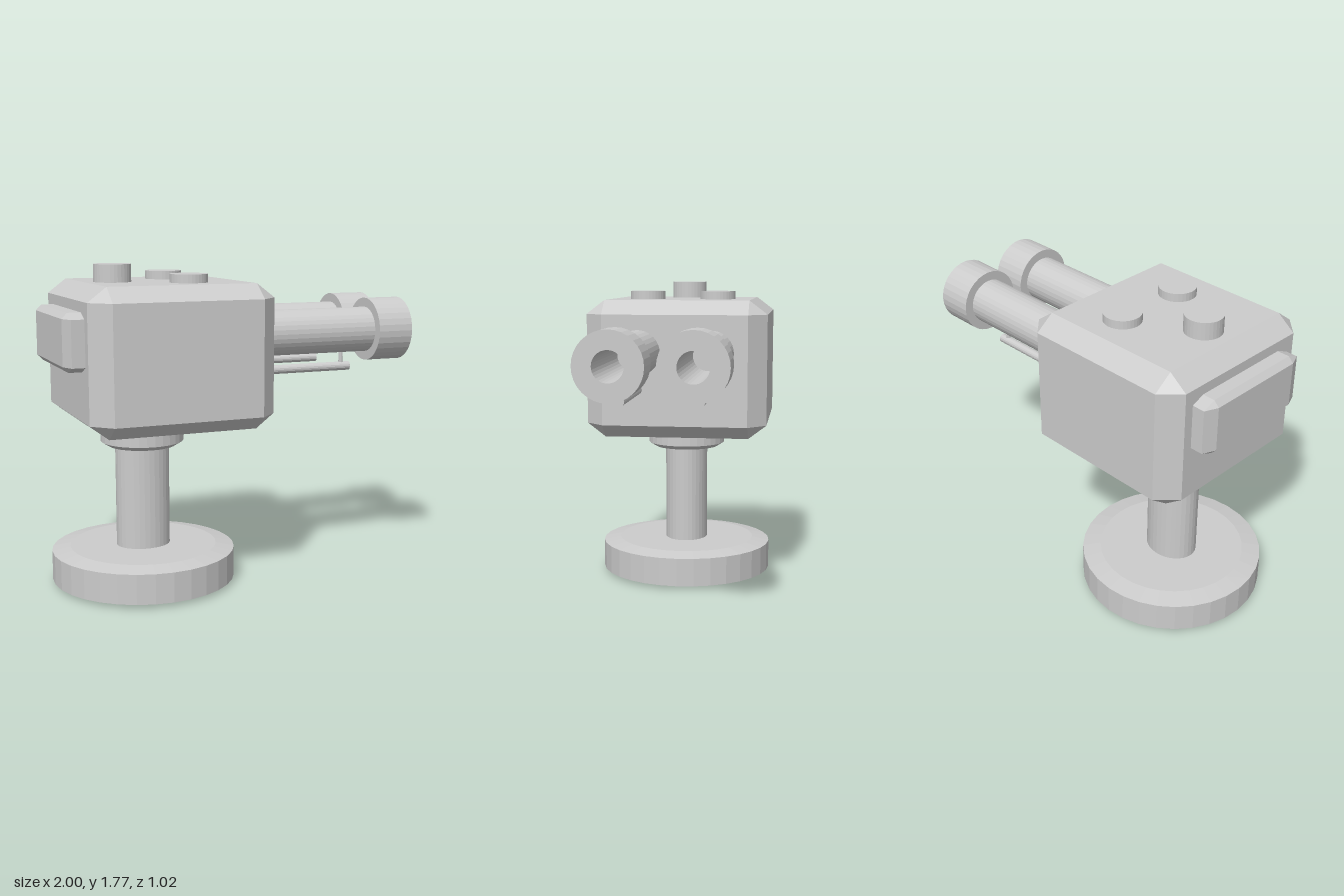
import * as THREE from 'three';
import { ConvexGeometry } from 'three/addons/geometries/ConvexGeometry.js';

const SIDES = 32;
const material = new THREE.MeshStandardMaterial({ color: 0xcccccc, flatShading: true });

function add(parent, name, geometry, x = 0, y = 0, z = 0) {
  const mesh = new THREE.Mesh(geometry, material);
  mesh.name = name;
  mesh.position.set(x, y, z);
  parent.add(mesh);
  return mesh;
}

// Box with every edge cut back by a tenth of its size, corners ending in triangles
function chamferedBox(w, h, d) {
  const half = [w / 2, h / 2, d / 2];
  const points = [];
  for (const sx of [-1, 1]) for (const sy of [-1, 1]) for (const sz of [-1, 1]) {
    for (let full = 0; full < 3; full++) {
      const p = [sx, sy, sz].map((s, i) => s * half[i] * (i === full ? 1 : 0.8));
      points.push(new THREE.Vector3(...p));
    }
  }
  return new ConvexGeometry(points);
}

// Turned part from [radius, height] pairs, listed upwards on the outside
const turned = (profile) =>
  new THREE.LatheGeometry(profile.map(([r, y]) => new THREE.Vector2(r, y)), SIDES);

const cylinder = (r, h, sides = SIDES) => new THREE.CylinderGeometry(r, r, h, sides);

export function createModel() {
  const model = new THREE.Group();
  model.name = 'twinBarrelTurret';
  const axisX = -0.49;

  // Stand: chamfered disc, oval column, collar running up into the head
  add(model, 'base', turned([[0, 0], [0.41, 0], [0.512, 0.02], [0.512, 0.185], [0.41, 0.205], [0, 0.205]]), axisX);
  add(model, 'column', cylinder(1, 0.75), axisX, 0.555, 0).scale.set(0.152, 1, 0.127);
  add(model, 'collar', turned([[0, 0.775], [0.19, 0.775], [0.23, 0.8], [0.23, 0.95], [0, 0.95]]), axisX);

  // Head and rear plate
  add(model, 'head', chamferedBox(1.024, 0.778, 1.024), -0.388, 1.287, 0);
  add(model, 'rearPlate', chamferedBox(0.3, 0.306, 0.716), -0.85, 1.39, 0);

  // Knobs on the roof
  add(model, 'tallKnob', cylinder(0.102, 0.15), -0.645, 1.697, 0);

  for (const side of [-1, 1]) {
    const z = side * 0.206;
    add(model, 'shortKnob', cylinder(0.102, 0.1), -0.285, 1.672, z);

    // Hollow barrel with a wider muzzle, turned on its side
    const gun = new THREE.Group();
    gun.name = 'gun';
    gun.position.set(0, 1.387, z);
    gun.rotation.z = -Math.PI / 2;
    model.add(gun);
    add(gun, 'barrel', turned([[0, 0.05], [0.127, 0.05], [0.127, 0.8]]));
    add(gun, 'muzzle', turned([[0.08, 0.79], [0.178, 0.79], [0.178, 1], [0.08, 1], [0.08, 0.3], [0, 0.3]]));

    // Rail hung below the barrel on two posts
    add(model, 'rail', cylinder(0.025, 0.57, 16), 0.405, 1.18, z).rotation.z = Math.PI / 2;
    for (const x of [0.175, 0.64]) {
      add(model, 'railPost', cylinder(0.012, 0.1, 12), x, 1.23, z);
    }
  }
  return model;
}
